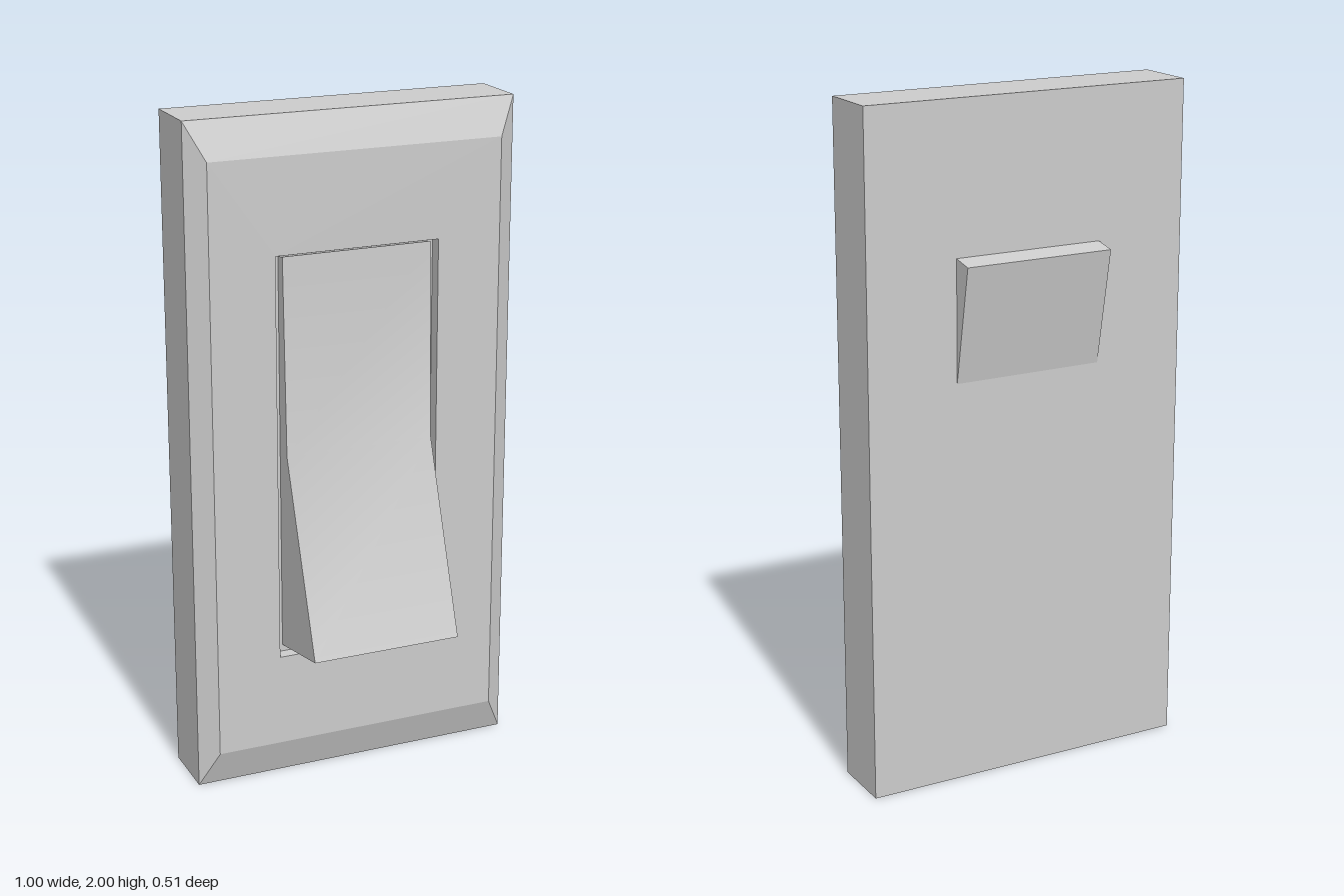
import * as THREE from 'three';
import { toCreasedNormals } from 'three/addons/utils/BufferGeometryUtils.js';

const material = new THREE.MeshStandardMaterial({ color: 0xcccccc });

// Rectangle of four corners, counter-clockwise seen from the front
function rectLoop(halfWidth, y0, y1, z) {
  return [[-halfWidth, y0, z], [halfWidth, y0, z], [halfWidth, y1, z], [-halfWidth, y1, z]];
}

// Skin joining successive rectangles, closed by a cap at both ends
function skinLoops(loops) {
  const positions = [];
  const quad = (a, b, c, d) => positions.push(...a, ...b, ...c, ...a, ...c, ...d);
  for (let i = 0; i < loops.length - 1; i++) {
    const a = loops[i], b = loops[i + 1];
    for (let j = 0; j < 4; j++) {
      const k = (j + 1) % 4;
      quad(a[j], a[k], b[k], b[j]);
    }
  }
  quad(...[...loops[0]].reverse());
  quad(...loops[loops.length - 1]);
  const geometry = new THREE.BufferGeometry();
  geometry.setAttribute('position', new THREE.Float32BufferAttribute(positions, 3));
  geometry.computeVertexNormals();
  return geometry;
}

// Wall plate: box sides, bevelled rim, flat face and shallow window recess
function createPlate() {
  const plate = new THREE.Mesh(skinLoops([
    rectLoop(0.5, 0, 2, -0.19),
    rectLoop(0.5, 0, 2, 0),
    rectLoop(0.445, 0.11, 1.89, 0.04),
    rectLoop(0.25, 0.39, 1.61, 0.04),
    rectLoop(0.25, 0.39, 1.61, 0),
  ]), material);
  plate.name = 'wallPlate';
  return plate;
}

// Rocker: bent side profile (z, y) extruded across the width
function createRocker() {
  const width = 0.454;
  const profile = new THREE.Shape([
    [0.255, 0.46], [0.053, 1.02], [0.034, 1.605], [-0.255, 1.55], [-0.038, 0.403],
  ].map(([z, y]) => new THREE.Vector2(z, y)));
  const extruded = new THREE.ExtrudeGeometry(profile, { depth: width, bevelEnabled: false });
  extruded.translate(0, 0, -width / 2);
  extruded.rotateY(-Math.PI / 2); // profile x becomes z
  const rocker = new THREE.Mesh(toCreasedNormals(extruded, 0.5), material);
  rocker.name = 'rocker';
  return rocker;
}

export function createModel() {
  const model = new THREE.Group();
  model.name = 'rockerSwitch';
  model.add(createPlate(), createRocker());
  return model;
}
